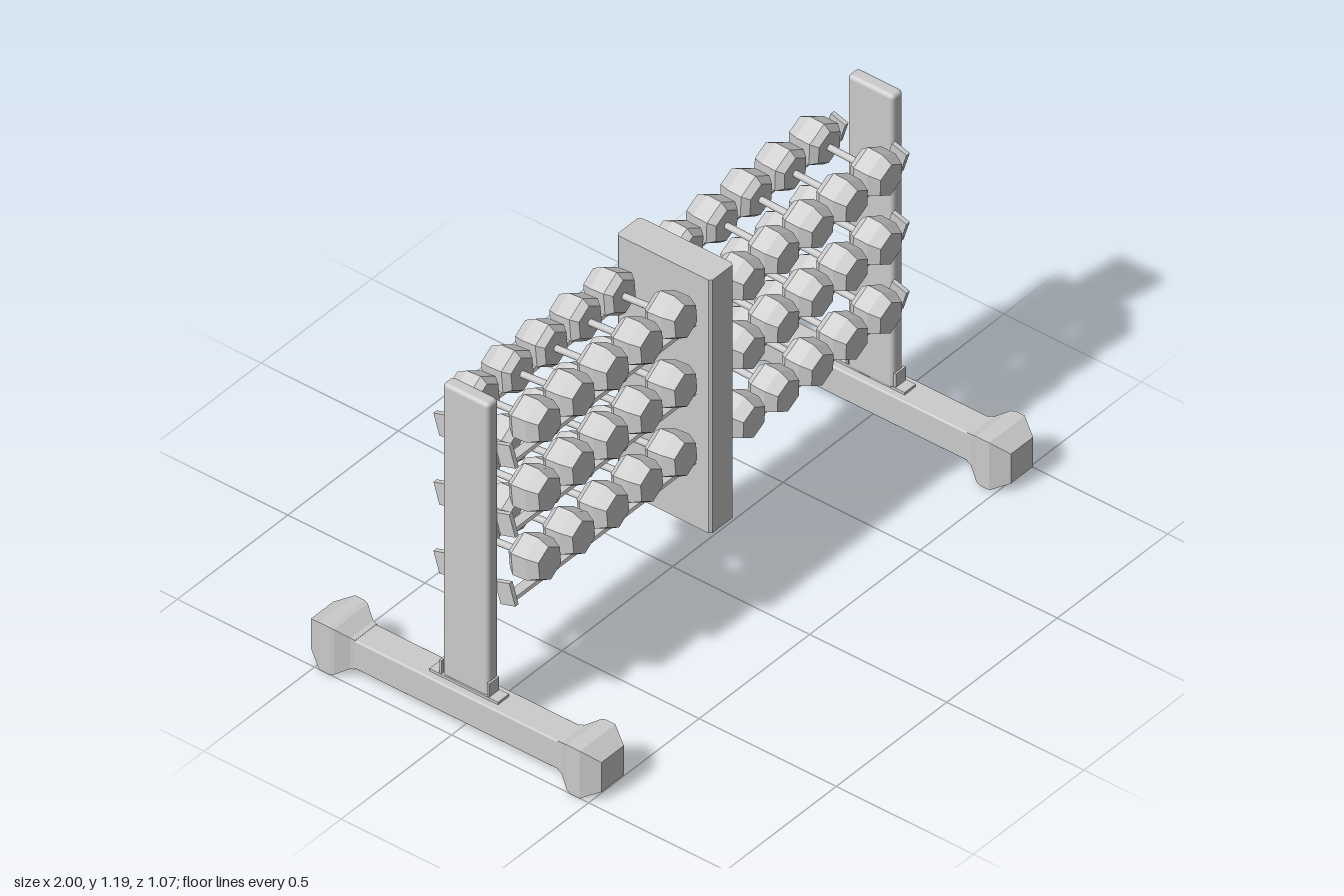
import * as THREE from 'three';
import { RoundedBoxGeometry } from 'three/addons/geometries/RoundedBoxGeometry.js';

const grey = new THREE.MeshStandardMaterial({ color: 0xcccccc });
const flat = new THREE.MeshStandardMaterial({ color: 0xcccccc, flatShading: true });

function add(parent, name, geometry, x = 0, y = 0, z = 0, material = flat) {
  const mesh = new THREE.Mesh(geometry, material);
  mesh.name = name;
  mesh.position.set(x, y, z);
  parent.add(mesh);
  return mesh;
}

// Many-sided solid along z, from [radius, distance] pairs; dir = 1 points to +z, -1 to -z
function prism(profile, sides, start, dir) {
  const points = profile.map(([r, d]) => new THREE.Vector2(r, d));
  return new THREE.LatheGeometry(points, sides, start).rotateX(dir * Math.PI / 2);
}

// Box with chamfered upright edges, as an extruded octagon
function chamferedBox(w, h, d, c) {
  const a = w / 2, b = d / 2;
  const outline = [[a, b - c], [a - c, b], [c - a, b], [-a, b - c], [-a, c - b], [c - a, -b], [a - c, -b], [a, c - b]];
  const shape = new THREE.Shape(outline.map(([x, z]) => new THREE.Vector2(x, z)));
  return new THREE.ExtrudeGeometry(shape, { depth: h, bevelEnabled: false })
    .rotateX(-Math.PI / 2).translate(0, -h / 2, 0);
}

// Hexagonal dumbbell lying along z
function dumbbell() {
  const group = new THREE.Group();
  group.name = 'dumbbell';
  const head = [[0, 0.058], [0.056, 0.058], [0.074, 0.08], [0.074, 0.131], [0.056, 0.167], [0, 0.167]];
  for (const dir of [1, -1]) add(group, 'dumbbellHead', prism(head, 6, 0, dir));
  add(group, 'dumbbellHandle', new THREE.CylinderGeometry(0.011, 0.011, 0.13, 12).rotateX(Math.PI / 2), 0, 0, 0, grey);
  return group;
}

// Foot: floor beam, flared end caps and the socket of the post
function foot(x, z) {
  const group = new THREE.Group();
  group.name = 'foot';
  group.position.set(x, 0, z);
  add(group, 'footBeam', new RoundedBoxGeometry(0.1, 0.102, 0.78, 2, 0.006), 0, 0.085, 0, grey);
  const q = Math.SQRT2;
  const cap = [[0, 0.37], [0.052 * q, 0.37], [0.055 * q, 0.385], [0.081 * q, 0.425], [0.085 * q, 0.44],
    [0.085 * q, 0.475], [0.053 * q, 0.53], [0, 0.53]];
  for (const dir of [1, -1]) {
    const mesh = add(group, 'footCap', prism(cap, 4, Math.PI / 4, dir), 0, 0.085, 0);
    mesh.scale.x = 0.95;
    add(group, 'socketTab', new THREE.BoxGeometry(0.045, 0.055, 0.008), 0, 0.165, dir * 0.087 - z);
  }
  add(group, 'socketPlate', new THREE.BoxGeometry(0.05, 0.01, 0.25), 0, 0.14, -z);
  return group;
}

export function createModel() {
  const model = new THREE.Group();
  model.name = 'dumbbellRack';

  // Central divider
  add(model, 'centrePanel', chamferedBox(0.106, 0.91, 0.345, 0.008), -0.003, 0.695, 0.012);

  for (const side of [1, -1]) {
    const name = side > 0 ? 'left' : 'right';
    model.add(foot(side * 0.92, side > 0 ? 0.003 : -0.007));
    add(model, name + 'Post', new RoundedBoxGeometry(0.049, 1.055, 0.168, 3, 0.014), side * 0.916, 0.6625, 0.001, grey);

    for (let tier = 0; tier < 3; tier++) {
      const y = 0.467 + tier * 0.248;
      const shelf = new THREE.Group();
      shelf.name = name + 'Shelf';
      model.add(shelf);

      // Tilted rails with their end plates against the post
      for (const z of [0.108, -0.115]) {
        const rail = add(shelf, 'rail', new THREE.BoxGeometry(0.84, 0.011, 0.045), side * 0.465, y, z);
        const plate = add(shelf, 'railEndPlate', new THREE.BoxGeometry(0.015, 0.075, 0.056), side * 0.885, y + 0.028, z);
        rail.rotation.x = plate.rotation.x = side * 0.3;
      }

      // Row of dumbbells, leaning opposite ways on the two sides
      for (let i = 0; i < 5; i++) {
        const bell = dumbbell();
        const x = side > 0 ? 0.147 + i * 0.155 : -0.161 - i * 0.154;
        bell.position.set(x, y + (side > 0 ? 0.056 : 0.089), 0.012);
        bell.rotation.x = side > 0 ? 0.035 : -0.085;
        shelf.add(bell);
      }
    }
  }
  return model;
}
